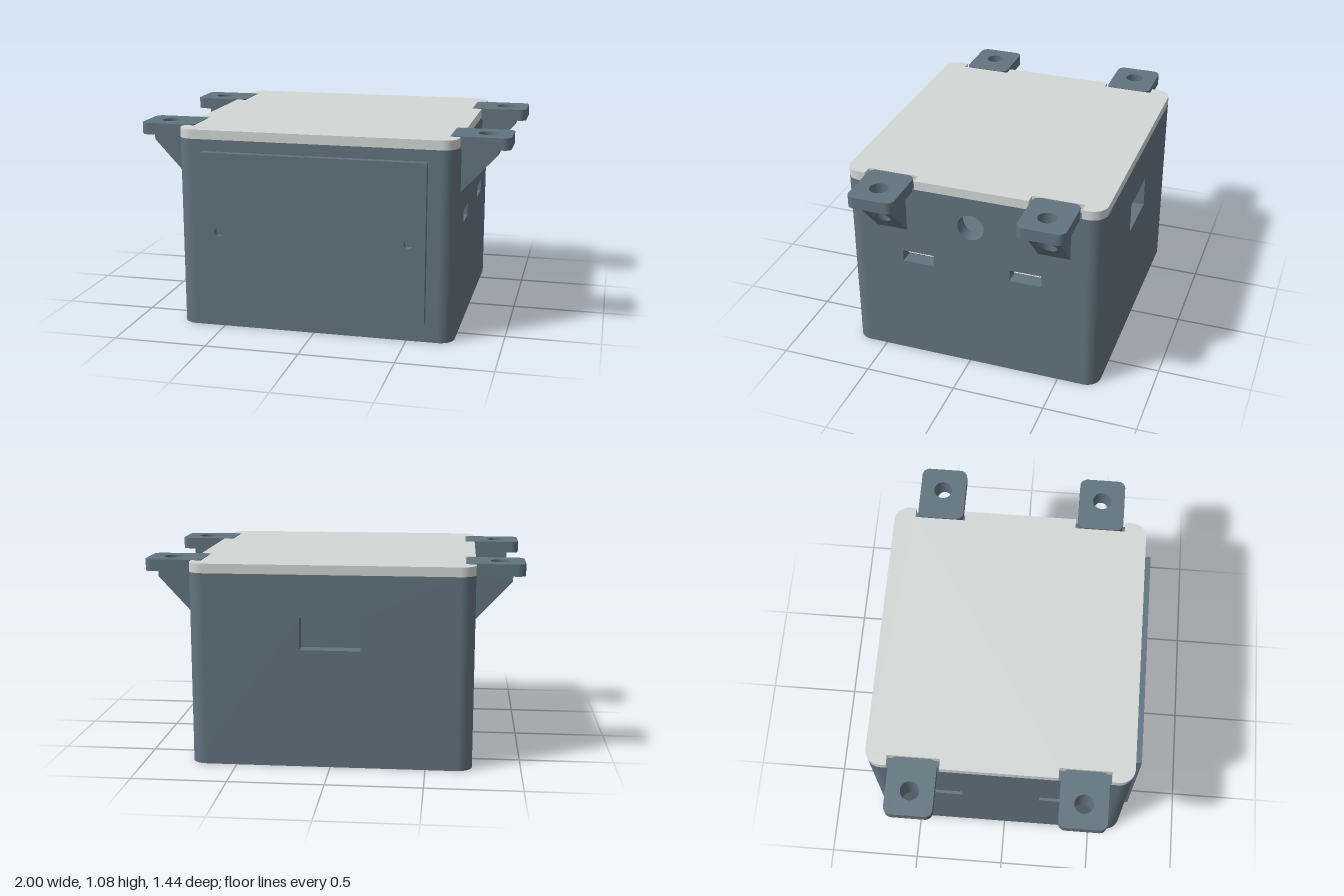
import * as THREE from 'three';

const W = 0.745, ZF = 0.68, ZB = -0.72, R = 0.08, TOP = 1.025, LID = 1.075, FLOOR = 0.08;
const bodyMat = new THREE.MeshStandardMaterial({ color: 0x62747f });
const lidMat = new THREE.MeshStandardMaterial({ color: 0xd3d8d6 });

// Closed rectangle, usable as outline or hole
function rect(x0, y0, x1, y1) {
  return new THREE.Shape([[x0, y0], [x1, y0], [x1, y1], [x0, y1]].map(p => new THREE.Vector2(...p)));
}

function circle(x, y, r) {
  return new THREE.Shape().absarc(x, y, r, 0, Math.PI * 2);
}

function roundRect(x0, y0, x1, y1, r) {
  const s = new THREE.Shape();
  s.absarc(x1 - r, y0 + r, r, -Math.PI / 2, 0);
  s.absarc(x1 - r, y1 - r, r, 0, Math.PI / 2);
  s.absarc(x0 + r, y1 - r, r, Math.PI / 2, Math.PI);
  s.absarc(x0 + r, y0 + r, r, Math.PI, Math.PI * 1.5);
  return s;
}

function extrude(shape, depth, holes = []) {
  shape.holes.push(...holes);
  return new THREE.ExtrudeGeometry(shape, { depth, bevelEnabled: false, curveSegments: 20 });
}

// Extrude an (x, z) outline upward from y0 to y1
function slab(shape, y0, y1, holes) {
  return extrude(shape, y1 - y0, holes).rotateX(Math.PI / 2).translate(0, y1, 0);
}

export function createModel() {
  const model = new THREE.Group();
  const add = (name, geo, mat = bodyMat, parent = model) => {
    const mesh = new THREE.Mesh(geo, mat);
    mesh.name = name;
    parent.add(mesh);
    return mesh;
  };

  // Floor in two layers: the lower one is cut out for the sensor plate
  const sensorZ = -0.39;
  const eyes = () => [-0.28, 0.28].map(x => circle(x, sensorZ, 0.178));
  const drain = () => circle(0.62, -0.015, 0.03);
  add('floorLower', slab(roundRect(-W, ZB, W, ZF, R), 0, 0.04,
    [rect(-0.6, sensorZ - 0.28, 0.6, sensorZ + 0.28), drain()]));
  add('floorUpper', slab(roundRect(-W, ZB, W, ZF, R), 0.04, FLOOR, [...eyes(), drain()]));
  add('sensorPlate', slab(rect(-0.597, sensorZ - 0.277, 0.597, sensorZ + 0.277), 0, 0.04,
    [...eyes(), ...[-0.54, 0.54].map(x => circle(x, sensorZ, 0.02))]));

  // Front and back walls
  add('frontWall', extrude(rect(-W + R, FLOOR, W - R, TOP), R).translate(0, 0, ZF - R));
  add('backWall', extrude(rect(-W + R, FLOOR, W - R, TOP), R,
    [rect(-0.16, 0.63, 0.16, 0.80)]).translate(0, 0, ZB));

  // Side walls with clip slots; the left one also has a round cable hole
  const slotZ = [0.283, -0.315];
  for (const side of [1, -1]) {
    const holes = slotZ.map(z => rect(-z - 0.087, 0.575, -z + 0.087, 0.64));
    if (side > 0) holes.push(circle(0.017, 0.855, 0.072));
    const geo = extrude(rect(-ZF + R, FLOOR, -ZB - R, TOP), R, holes).rotateY(Math.PI / 2);
    add(side > 0 ? 'leftWall' : 'rightWall', geo.translate(side > 0 ? W - R : -W, 0, 0));
  }

  // Rounded corner columns
  const h = TOP - FLOOR;
  [[1, ZF - R, 0], [1, ZB + R, 1], [-1, ZB + R, 2], [-1, ZF - R, 3]].forEach(([sx, z, q]) => {
    const geo = new THREE.CylinderGeometry(R, R, h, 12, 1, false, q * Math.PI / 2, Math.PI / 2);
    add('cornerColumn', geo.translate(sx * (W - R), FLOOR + h / 2, z));
  });

  // Raised front cover with two blind screw holes
  add('frontCover', extrude(rect(-0.6, 0.107, 0.6, 0.963), 0.04,
    [-0.51, 0.51].map(x => circle(x, 0.535, 0.024))).translate(0, 0, ZF));

  // Lid, notched around the four mounting tabs
  const tabZ = [0.425, -0.468];
  const notch = 0.69, half = 0.138;
  const lid = new THREE.Shape();
  lid.absarc(W - R, ZB + R, R, -Math.PI / 2, 0);
  for (const z of [tabZ[1], tabZ[0]]) {
    lid.lineTo(W, z - half).lineTo(notch, z - half).lineTo(notch, z + half).lineTo(W, z + half);
  }
  lid.absarc(W - R, ZF - R, R, 0, Math.PI / 2);
  lid.absarc(-W + R, ZF - R, R, Math.PI / 2, Math.PI);
  for (const z of tabZ) {
    lid.lineTo(-W, z + half).lineTo(-notch, z + half).lineTo(-notch, z - half).lineTo(-W, z - half);
  }
  lid.absarc(-W + R, ZB + R, R, Math.PI, Math.PI * 1.5);
  add('lid', slab(lid, TOP, LID), lidMat);

  // Lid clips: an arm with a wedge that catches in the wall slot
  const clipProfile = [[0.60, TOP], [0.60, 0.575], [0.66, 0.575], [0.71, 0.61], [0.66, 0.64], [0.66, TOP]];
  for (const side of [1, -1]) {
    for (const z of slotZ) {
      const geo = extrude(new THREE.Shape(clipProfile.map(p => new THREE.Vector2(...p))), 0.146);
      const clip = add('lidClip', geo.translate(0, 0, -0.073), lidMat);
      clip.position.z = z;
      clip.rotation.y = side > 0 ? 0 : Math.PI;
    }
  }

  // Mounting brackets: drilled tab on a sloping gusset
  for (const side of [1, -1]) {
    for (const z of tabZ) {
      const bracket = new THREE.Group();
      bracket.name = 'mountingBracket';
      bracket.position.z = z;
      bracket.rotation.y = side > 0 ? 0 : Math.PI;
      add('tab', slab(roundRect(0.695, -0.126, 1.0, 0.126, 0.04), 1.012, LID,
        [circle(0.87, 0, 0.05)]), bodyMat, bracket);

      // Slope the underside of the gusset from the wall outward
      const gusset = slab(rect(W, -0.085, 0.935, 0.085), 0, 1.012, [circle(0.87, 0, 0.05)]);
      const p = gusset.attributes.position;
      for (let i = 0; i < p.count; i++) {
        if (p.getY(i) < 0.5) p.setY(i, 0.775 + (p.getX(i) - W) * (0.98 - 0.775) / (0.935 - W));
      }
      gusset.computeVertexNormals();
      add('gusset', gusset, bodyMat, bracket);
      model.add(bracket);
    }
  }
  return model;
}
